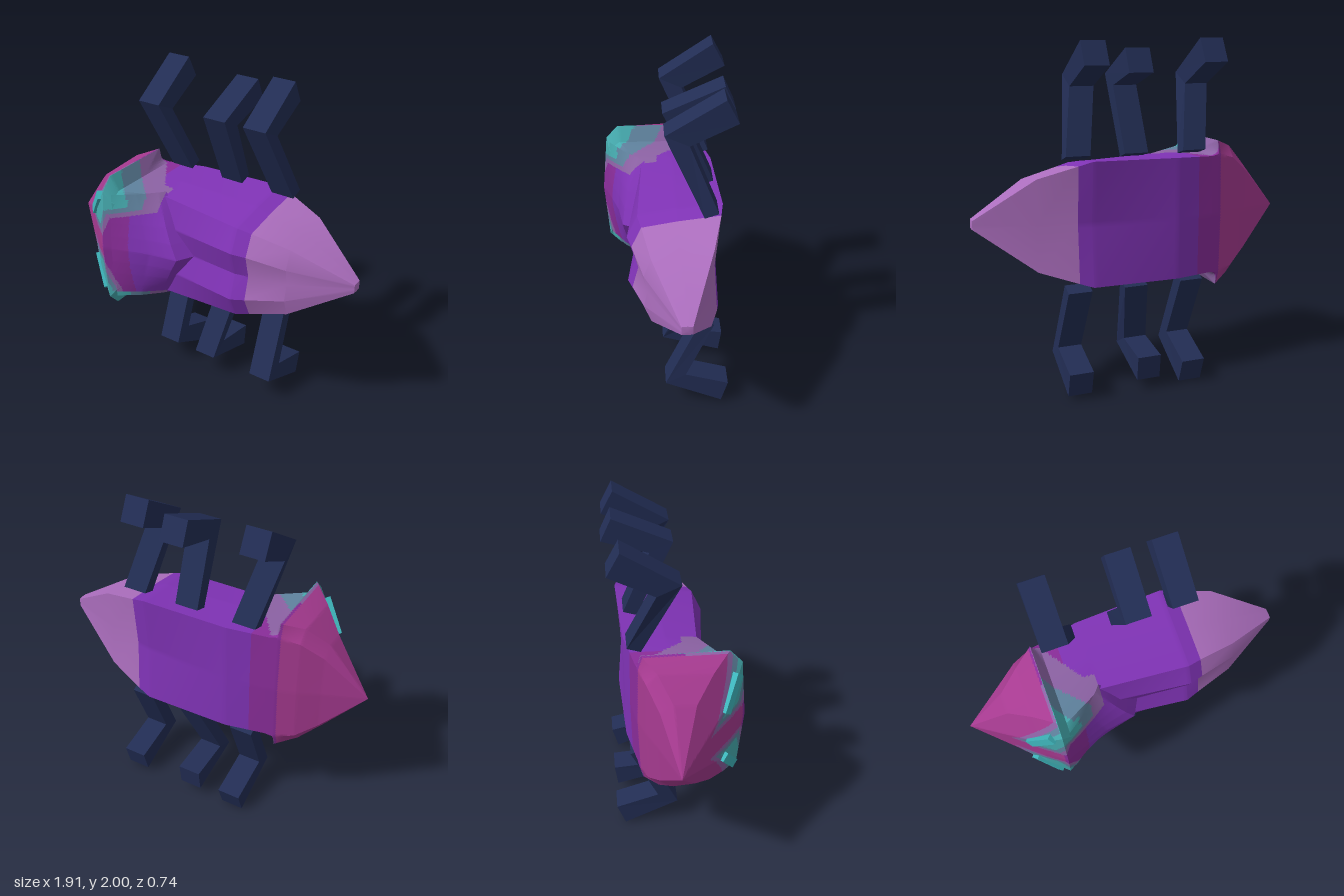
import * as THREE from 'three';
import { toCreasedNormals } from 'three/addons/utils/BufferGeometryUtils.js';

const mat = (name, color) => {
  const m = new THREE.MeshStandardMaterial({ color });
  m.name = name;
  return m;
};
const midY = x => 0.985 + 0.02 * x;

// Cross-section at x: half outline [dy, z] from back centre to front centre, mirrored
const ring = (x, half) => {
  const other = half.slice(1, -1).reverse().map(([dy, z]) => [-dy, z]);
  return [...half, ...other, half[0]].map(([dy, z]) => new THREE.Vector3(x, midY(x) + dy, z));
};

// Skin over rows of points, finely divided so that a rule can pick each face's colour
function skin(name, rows, materials, rule, n = 20) {
  const buckets = materials.map(() => []);
  const at = (a, b, c, d, u, v) => a.clone().lerp(b, u).lerp(c.clone().lerp(d, u), v);
  for (let i = 0; i < rows.length - 1; i++) {
    for (let j = 0; j < rows[i].length - 1; j++) {
      const quad = [rows[i][j], rows[i + 1][j], rows[i][j + 1], rows[i + 1][j + 1]];
      for (let p = 0; p < n; p++) {
        for (let q = 0; q < n; q++) {
          const a = at(...quad, p / n, q / n), b = at(...quad, (p + 1) / n, q / n);
          const c = at(...quad, p / n, (q + 1) / n), d = at(...quad, (p + 1) / n, (q + 1) / n);
          for (const tri of [[a, c, b], [b, c, d]]) {
            const m = tri[0].clone().add(tri[1]).add(tri[2]).divideScalar(3);
            const k = rule(m.x, m.y - midY(m.x), m.z);
            for (const v of tri) buckets[k].push(v.x, v.y, v.z);
          }
        }
      }
    }
  }
  const g = new THREE.BufferGeometry();
  g.setAttribute('position', new THREE.Float32BufferAttribute(buckets.flat(), 3));
  let start = 0;
  buckets.forEach((b, k) => {
    if (b.length) g.addGroup(start, b.length / 3, k);
    start += b.length / 3;
  });
  const mesh = new THREE.Mesh(toCreasedNormals(g, 0.5), materials);
  mesh.name = name;
  return mesh;
}

export function createModel() {
  const model = new THREE.Group();
  model.name = 'beetle';
  const magenta = mat('magenta', 0xa63a90), plum = mat('plum', 0x8a2d9a);
  const violet = mat('violet', 0x8033b6), lavender = mat('lavender', 0xac6ebe);
  const navy = mat('navy', 0x222d54), teal = mat('teal', 0x46acb0);
  const blueGrey = mat('blue grey', 0x5f829e), mauve = mat('mauve', 0x8c62a4);
  const eyeTeal = mat('eye teal', 0x3eb6bc);
  const palette = [magenta, plum, violet, teal, blueGrey, mauve];

  // Colour rule: banded angular patch round each eye, and bands over the collar and neck sides
  const rule = (x, sy, z) => {
    const dy = Math.abs(sy);
    const edge = -0.2 - 0.7 * Math.max(0, 0.13 - z);
    if (x > -0.488 && dy > 0.318 && z > -0.21 && (x < edge || x < -0.43)) {
      const f = 0.33 - z + x + 0.45;
      return f < 0.13 ? 3 : f < 0.3 ? 4 : 5;
    }
    if (z > 0.04 && x < -0.2) {
      const left = 0.58 * (dy - 0.12) - 0.82 * (x + 0.72);
      const right = 0.92 * (x + 0.5) - 0.38 * (dy - 0.07);
      // Only the upper patch runs on along the shield
      const arm = Math.max(0.2 + 0.2 * (x + 0.45) - dy, 0.35 * (x + 0.2));
      const inner = sy > 0 ? Math.min(right, arm) : Math.max(right, x + 0.41);
      const depth = -Math.max(left * 1.5, 0.075 - dy, inner);
      if (depth > 0) return depth > 0.055 ? 3 : depth > 0.028 ? 4 : 5;
    }
    return x < -0.5 ? 0 : x < -0.34 ? 1 : 2;
  };

  // Head, widest at the collar, stepping in to the neck
  const neck = ring(-0.435, [[0, -0.24], [0.35, -0.23], [0.35, 0], [0.35, 0.26], [0.3, 0.325], [0, 0.345]]);
  model.add(skin('head', [
    ring(-0.96, Array(6).fill([0, -0.03])),
    ring(-0.72, [[0, -0.13], [0.24, -0.12], [0.29, -0.05], [0.28, 0.07], [0.13, 0.17], [0, 0.17]]),
    ring(-0.6, [[0, -0.19], [0.33, -0.18], [0.395, -0.12], [0.38, 0.17], [0.22, 0.275], [0, 0.275]]),
    ring(-0.485, [[0, -0.23], [0.36, -0.22], [0.437, -0.2], [0.437, 0.27], [0.36, 0.34], [0, 0.37]]),
    neck,
  ], palette, rule));

  // Body and pale tail
  const waist = ring(0.4, [[0, -0.26], [0.33, -0.285], [0.3, -0.05], [0.265, 0.145], [0.14, 0.2], [0, 0.165]]);
  model.add(skin('body', [
    neck,
    ring(-0.2, [[0, -0.28], [0.355, -0.28], [0.345, -0.05], [0.325, 0.13], [0.15, 0.16], [0, 0.13]]),
    ring(0.32, [[0, -0.27], [0.355, -0.3], [0.325, -0.05], [0.285, 0.165], [0.15, 0.225], [0, 0.18]]),
    waist,
  ], palette, rule));
  model.add(skin('tail', [
    waist,
    ring(0.62, [[0, -0.21], [0.26, -0.23], [0.235, -0.05], [0.21, 0.1], [0.1, 0.14], [0, 0.12]]),
    ring(0.95, [[0, -0.1], [0.025, -0.1], [0.028, -0.07], [0.025, -0.04], [0.015, -0.04], [0, -0.04]]),
    ring(0.955, Array(6).fill([0, -0.07])),
  ], [lavender], () => 0, 1));

  // Pointed shield over the front of the body: [along, centre z, side z]
  const shield = [[0, 0.348, 0.32], [0.5, 0.275, 0.235], [0.88, 0.25, 0.145], [1, 0.15, 0.11]];
  model.add(skin('shield', shield.map(([t, zc, zs]) => {
    const row = [];
    for (let i = 0; i <= 8; i++) {
      const s = 1 - i / 4;
      const x = THREE.MathUtils.lerp(-0.44, 0.02 - 0.22 * Math.abs(s), t);
      row.push(new THREE.Vector3(x, midY(x) + 0.348 * s, THREE.MathUtils.lerp(zc, zs, Math.abs(s) ** 1.5)));
    }
    return row;
  }), palette, rule));

  // Slim raised eyes lying along the head
  for (const s of [1, -1]) {
    const along = new THREE.Vector3(0.13, 0.18 * s, 0.085).normalize();
    const across = new THREE.Vector3(0.05, -0.035 * s, 0.05);
    const out = across.clone().cross(along).normalize();
    if (out.z < 0) out.negate();
    const side = along.clone().cross(out);
    const eye = new THREE.Mesh(new THREE.BoxGeometry(0.055, 0.22, 0.04), eyeTeal);
    eye.name = s > 0 ? 'upperEye' : 'lowerEye';
    eye.quaternion.setFromRotationMatrix(new THREE.Matrix4().makeBasis(side, along, out));
    eye.position.set(-0.592, midY(-0.592) + 0.238 * s, 0.268);
    model.add(eye);
  }

  // Bent legs: stations are [x, outer z, outer y, inner z, inner y] from body to foot
  const addLeg = (name, stations, up) => {
    const g = new THREE.BoxGeometry(0.14, 1, 1, 1, 2, 1);
    const p = g.attributes.position;
    for (let i = 0; i < p.count; i++) {
      const k = Math.round((up ? p.getY(i) + 0.5 : 0.5 - p.getY(i)) * 2);
      const [x, oz, oy, iz, iy] = stations[k];
      const outer = p.getZ(i) > 0;
      p.setXYZ(i, p.getX(i) + x, outer ? oy : iy, outer ? oz : iz);
    }
    const flat = g.toNonIndexed();
    flat.computeVertexNormals();
    const leg = new THREE.Mesh(flat, navy);
    leg.name = name;
    model.add(leg);
  };
  const names = ['front', 'middle', 'rear'];
  // Upper legs: base, knee and foot x, then foot height
  [[-0.3, -0.38, -0.385, 2], [0.055, 0.065, 0.07, 1.95], [0.395, 0.32, 0.315, 1.99]].forEach(([a, b, c, y], i) =>
    addLeg(names[i] + 'UpperLeg', [
      [a, -0.19, 1.35, -0.265, 1.375],
      [b, 0.02, 1.8, -0.11, 1.74],
      [c, -0.285 - (2 - y) * 0.5, y, -0.355 - (2 - y) * 0.3, y - 0.13],
    ], true));
  // Lower legs
  [[-0.295, -0.28, -0.27, 0], [0.055, 0.0, 0.01, 0.065], [0.39, 0.41, 0.42, 0.025]].forEach(([a, b, c, y], i) =>
    addLeg(names[i] + 'LowerLeg', [
      [a, -0.19, 0.635, -0.265, 0.605],
      [b, 0.015, 0.17, -0.105, 0.235],
      [c, -0.31 - y * 0.5, y, -0.36, y + 0.14],
    ], false));

  return model;
}
